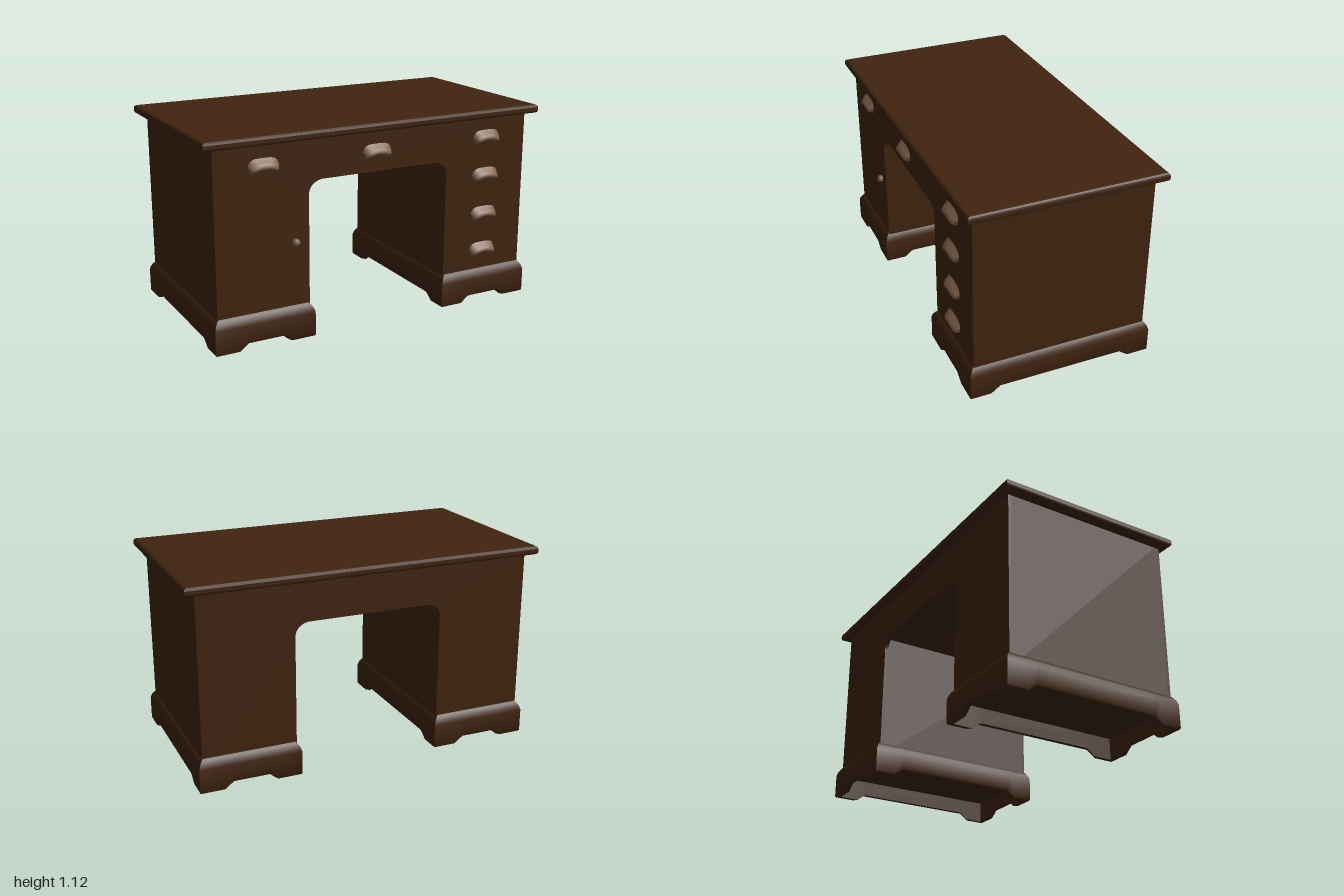
import * as THREE from 'three';
import { toCreasedNormals } from 'three/addons/utils/BufferGeometryUtils.js';

const wood = new THREE.MeshStandardMaterial({ color: 0x40240f });
wood.name = 'dark wood';
const pullMetal = new THREE.MeshStandardMaterial({ color: 0x80614a });
pullMetal.name = 'aged pull';

function add(parent, name, geometry, material, x = 0, y = 0, z = 0) {
  const mesh = new THREE.Mesh(geometry, material);
  mesh.name = name;
  mesh.position.set(x, y, z);
  parent.add(mesh);
  return mesh;
}

// Arch of both pedestals and the bridge over the kneehole, centred on z;
// run and drop give the size of the eased kneehole corners
function archGeometry(depth, run, drop) {
  const s = new THREE.Shape();
  const corner = 0.42, ceiling = 0.847;
  s.moveTo(-0.94, 0.12);
  s.lineTo(-corner, 0.12);
  s.lineTo(-corner, ceiling - drop);
  s.quadraticCurveTo(-corner + run * 0.1, ceiling - drop * 0.2, -corner + run, ceiling);
  s.lineTo(corner - run, ceiling);
  s.quadraticCurveTo(corner - run * 0.1, ceiling - drop * 0.2, corner, ceiling - drop);
  s.lineTo(corner, 0.12);
  s.lineTo(0.94, 0.12);
  s.lineTo(0.94, 1.075);
  s.lineTo(-0.94, 1.075);
  s.closePath();
  const g = new THREE.ExtrudeGeometry(s, { depth, bevelEnabled: false, curveSegments: 6 });
  return g.translate(0, 0, -depth / 2);
}

// Slab with a moulded edge
function topGeometry() {
  const x = 0.978, z = 0.511;
  const s = new THREE.Shape([[-x, -z], [x, -z], [x, z], [-x, z]].map(p => new THREE.Vector2(...p)));
  const g = new THREE.ExtrudeGeometry(s, {
    depth: 0.018, bevelThickness: 0.016, bevelSize: 0.022, bevelSegments: 3,
  });
  return g.rotateX(-Math.PI / 2).translate(0, 1.081, 0);
}

// Hollow skirt with bracket feet: a profile swept round a rectangle
function plinthGeometry(hx, hz) {
  const outline = []; // x, z, bottom height
  const side = (h, foot, f) => {
    const half = [[h, 0], [h - foot, 0], [h - foot - 0.022, 0.017], [h - foot - 0.05, 0.037]];
    half.forEach(([t, y]) => outline.push(f(-t, y)));
    half.slice(1).reverse().forEach(([t, y]) => outline.push(f(t, y)));
  };
  side(hx, 0.132, (t, y) => [t, hz, y]);
  side(hz, 0.115, (t, y) => [hx, -t, y]);
  side(hx, 0.132, (t, y) => [-t, -hz, y]);
  side(hz, 0.115, (t, y) => [-hx, t, y]);
  // inset and height, from inside to outside; a lift follows the foot outline
  const rows = [
    { inset: 0.03, y: 0.125 }, { inset: 0.027, lift: 0 }, { inset: 0.004, lift: 0 }, { inset: 0, lift: 0.006 },
    { inset: 0, y: 0.135 }, { inset: 0.007, y: 0.157 }, { inset: 0.018, y: 0.175 }, { inset: 0.028, y: 0.185 },
  ];
  const pos = [], index = [], n = outline.length;
  for (const { inset, y, lift } of rows) {
    for (const [px, pz, foot] of outline) {
      pos.push(px * (1 - inset / hx), y ?? foot + lift, pz * (1 - inset / hz));
    }
  }
  for (let j = 0; j < rows.length - 1; j++) {
    for (let i = 0; i < n; i++) {
      const k = (i + 1) % n;
      const a = j * n + i, b = j * n + k, c = b + n, d = a + n;
      index.push(a, b, c, a, c, d);
    }
  }
  const g = new THREE.BufferGeometry();
  g.setAttribute('position', new THREE.Float32BufferAttribute(pos, 3));
  g.setIndex(index);
  return toCreasedNormals(g, 0.7);
}

// Cup pull: a plane bulged forward, sloping out to a low lip with an arched edge
function pullGeometry() {
  const bulge = [0, 0.25, 0.55, 0.85, 1, 0.95, 0]; // top to bottom
  const g = new THREE.PlaneGeometry(2, 1, 16, bulge.length - 1);
  const p = g.attributes.position;
  for (let i = 0; i < p.count; i++) {
    const u = p.getX(i), v = p.getY(i) + 0.5;
    const round = Math.sqrt(Math.max(0, 1 - u ** 4));
    const top = 0.038 * round;
    const bottom = -(0.026 + 0.03 * u * u) * Math.sqrt(Math.max(0, 1 - u ** 8));
    const depth = bulge[Math.round((1 - v) * (bulge.length - 1))];
    p.setXYZ(i, 0.085 * u, bottom + (top - bottom) * v, 0.04 * round * depth);
  }
  g.computeVertexNormals();
  return g;
}

export function createModel() {
  const desk = new THREE.Group();
  desk.name = 'pedestalDesk';

  // Square-cornered core between face panels with eased kneehole corners
  add(desk, 'carcass', archGeometry(0.938, 0.004, 0.004), wood);
  const panel = archGeometry(0.02, 0.07, 0.067);
  add(desk, 'frontPanel', panel, wood, 0, 0, 0.479);
  add(desk, 'backPanel', panel, wood, 0, 0, -0.479);
  add(desk, 'deskTop', topGeometry(), wood);

  const plinth = plinthGeometry(0.2825, 0.517);
  add(desk, 'leftPlinth', plinth, wood, 0.6825);
  add(desk, 'rightPlinth', plinth, wood, -0.6825);

  // Drawer pulls: one row along the top, then down the left pedestal
  const pull = pullGeometry();
  [[-0.67, 0.96], [-0.02, 0.96], [0.68, 0.96], [0.68, 0.745], [0.68, 0.52], [0.68, 0.307]]
    .forEach(([x, y], i) => add(desk, `drawerPull${i + 1}`, pull, pullMetal, x, y, 0.487));

  // Cupboard door knob
  add(desk, 'doorKnob', new THREE.SphereGeometry(0.022, 12, 8), pullMetal, -0.5, 0.53, 0.497);
  return desk;
}
